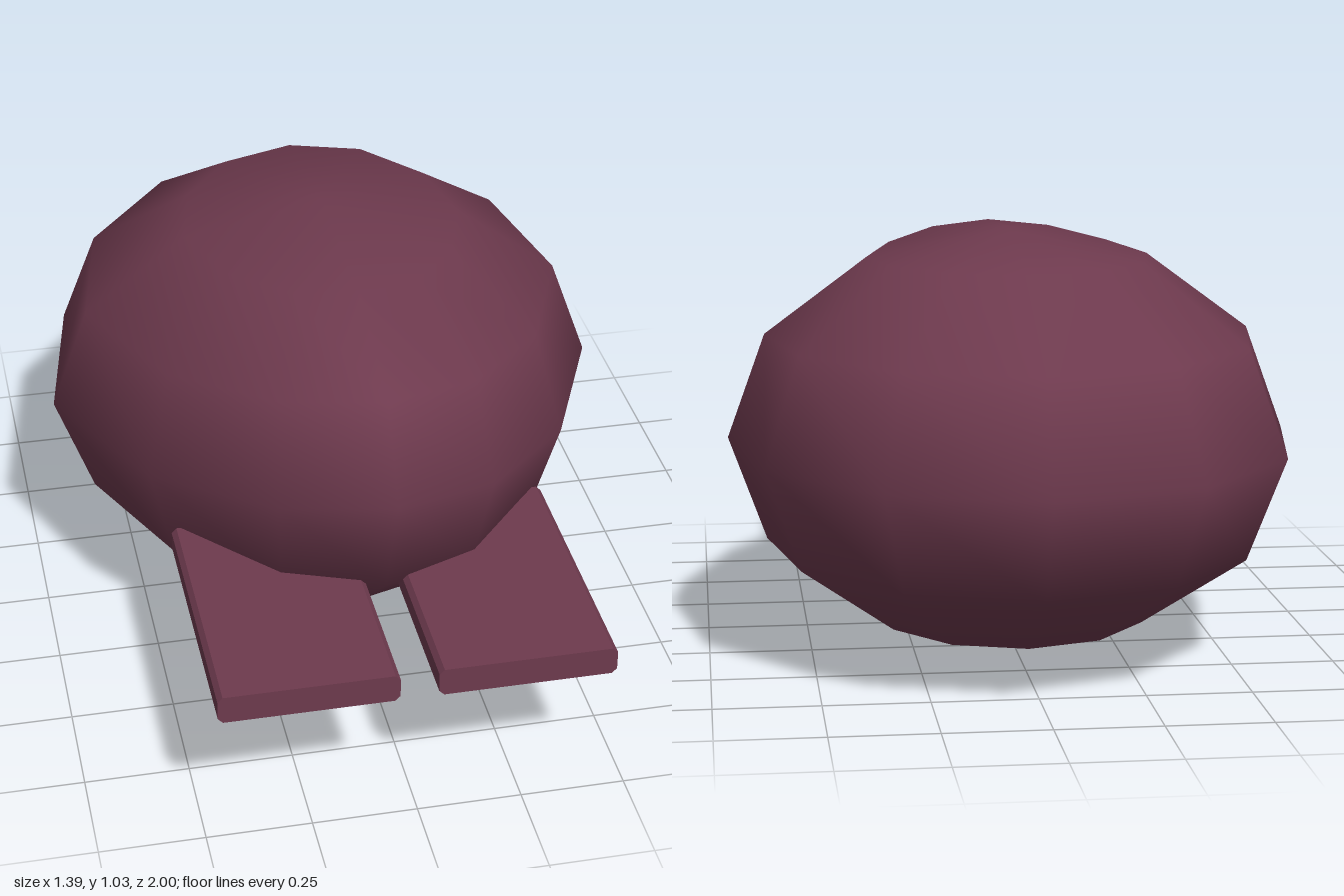
import * as THREE from 'three';
import { mergeVertices } from 'three/addons/utils/BufferGeometryUtils.js';

const material = new THREE.MeshStandardMaterial({ color: 0x6e3a4e, roughness: 0.8 });

// Low-poly egg: narrows toward the front and lifts its nose
function bodyGeometry() {
  let geo = new THREE.SphereGeometry(1, 12, 6);
  geo.deleteAttribute('uv');
  geo.deleteAttribute('normal');
  geo = mergeVertices(geo, 1e-4);
  const p = geo.attributes.position;
  for (let i = 0; i < p.count; i++) {
    const t = p.getZ(i);
    const front = Math.max(t, 0);
    const width = t > 0 ? 1 - 0.3 * t : 1 - 0.05 * t;
    p.setXYZ(
      i,
      p.getX(i) * 0.695 * width,
      0.515 + p.getY(i) * 0.513 + 0.175 * front * front,
      -0.12 + t * 0.88
    );
  }
  geo.computeVertexNormals();
  return geo;
}

// Flat slab with slightly clipped long edges, running along z
function footGeometry(width, height, depth, clip) {
  const w = width / 2, h = height / 2;
  const shape = new THREE.Shape([
    [-w + clip, -h], [w - clip, -h], [w, -h + clip], [w, h - clip],
    [w - clip, h], [-w + clip, h], [-w, h - clip], [-w, -h + clip],
  ].map(([x, y]) => new THREE.Vector2(x, y)));
  return new THREE.ExtrudeGeometry(shape, { depth, bevelEnabled: false });
}

export function createModel() {
  const model = new THREE.Group();
  model.name = 'model';

  const body = new THREE.Mesh(bodyGeometry(), material);
  body.name = 'body';
  model.add(body);

  // Pair of feet under the nose
  const footGeo = footGeometry(0.42, 0.07, 0.675, 0.012);
  for (const [name, side] of [['leftFoot', 1], ['rightFoot', -1]]) {
    const foot = new THREE.Mesh(footGeo, material);
    foot.name = name;
    foot.position.set(side * 0.255, 0.367, 0.325);
    model.add(foot);
  }
  return model;
}
